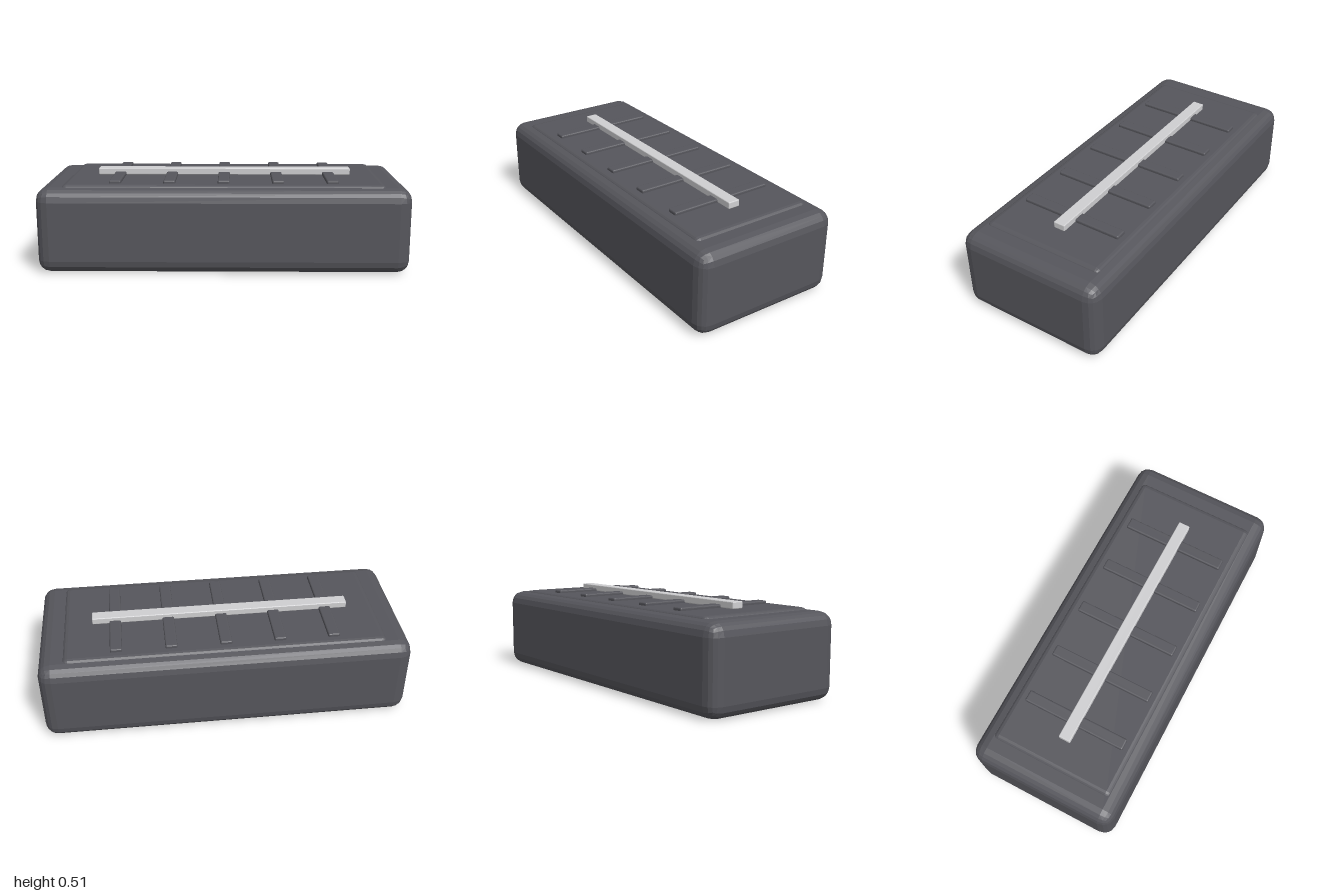
import * as THREE from 'three';
import { RoundedBoxGeometry } from 'three/addons/geometries/RoundedBoxGeometry.js';

export function createModel() {
  const model = new THREE.Group();
  model.name = 'ribbedBox';

  const charcoal = new THREE.MeshStandardMaterial({ color: 0x56565c, flatShading: true });
  charcoal.name = 'charcoal';
  const lightGrey = new THREE.MeshStandardMaterial({ color: 0xcfcfd1, flatShading: true });
  lightGrey.name = 'light grey';

  // Rounded block spanning bottom to top, centred on z = 0
  const block = (name, material, [w, d], bottom, top, radius, x = 0) => {
    const h = top - bottom;
    const mesh = new THREE.Mesh(new RoundedBoxGeometry(w, h, d, 2, radius), material);
    mesh.name = name;
    mesh.position.set(x, bottom + h / 2, 0);
    model.add(mesh);
    return mesh;
  };

  // Main casing and the raised panel set into its top
  block('casing', charcoal, [2, 0.83], 0, 0.46, 0.07);
  block('topPanel', charcoal, [1.74, 0.7], 0.41, 0.472, 0.03);

  // Five cross ribs on the panel
  for (let i = -2; i <= 2; i++) {
    block('rib', charcoal, [0.064, 0.585], 0.455, 0.489, 0.008, i * 0.2925);
  }

  // Long pale bar running over the ribs
  block('centreBar', lightGrey, [1.42, 0.066], 0.472, 0.509, 0.005);

  return model;
}
